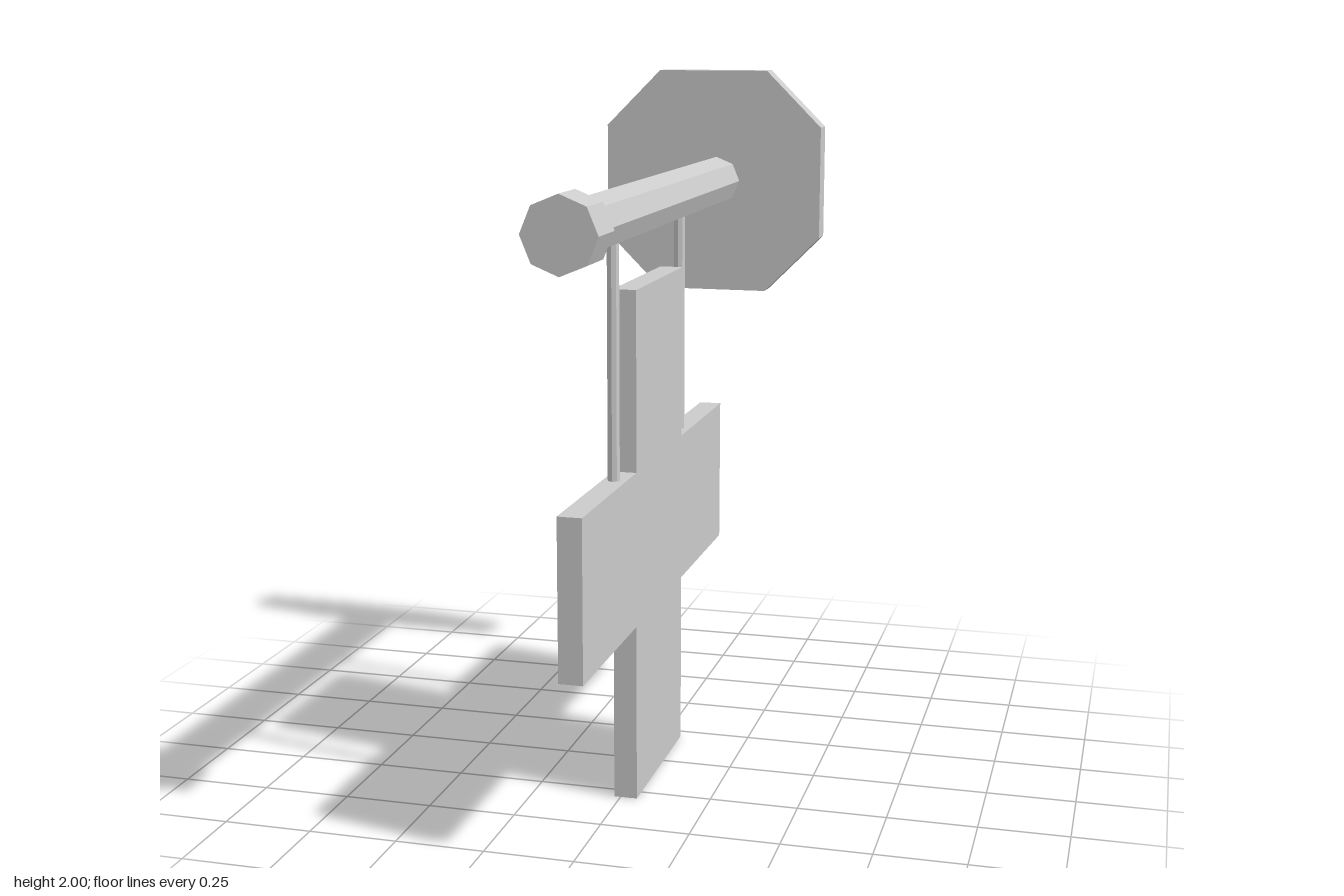
import * as THREE from 'three';

const material = new THREE.MeshStandardMaterial({ color: 0xcccccc, flatShading: true });
const AXIS_X = 0.0125, AXIS_Y = 1.655; // centre line of the bracket arm

function add(group, name, geometry) {
  const mesh = new THREE.Mesh(geometry, material);
  mesh.name = name;
  group.add(mesh);
  return mesh;
}

// Flat outline extruded to a given thickness
function slab(points, depth) {
  const shape = new THREE.Shape(points.map(([x, y]) => new THREE.Vector2(x, y)));
  return new THREE.ExtrudeGeometry(shape, { depth, bevelEnabled: false });
}

// Eight-sided bar along z, between two z positions
function armSection(group, name, radius, z0, z1) {
  const geometry = new THREE.CylinderGeometry(radius, radius, z1 - z0, 8).rotateX(Math.PI / 2);
  add(group, name, geometry).position.set(AXIS_X, AXIS_Y, (z0 + z1) / 2);
}

export function createModel() {
  const group = new THREE.Group();
  group.name = 'hangingCrossSign';

  // Wall plate: square with cut corners
  const h = 0.347, c = 0.173;
  const plate = [[h, -c], [h, c], [c, h], [-c, h], [-h, c], [-h, -c], [-c, -h], [c, -h]];
  add(group, 'wallPlate', slab(plate, 0.077)).position.set(0, AXIS_Y - 0.002, -0.867);

  // Arm with neck and end cap
  armSection(group, 'arm', 0.075, -0.867, 0.713);
  armSection(group, 'neck', 0.056, 0.70, 0.74);
  armSection(group, 'endCap', 0.1, 0.73, 0.867);

  // Hanger rods
  for (const [name, z] of [['frontHanger', 0.4], ['backHanger', -0.312]]) {
    add(group, name, new THREE.CylinderGeometry(0.017, 0.017, 0.68, 8)).position.set(AXIS_X, 1.28, z);
  }

  // Cross panel, outlined in (-z, y) and turned to face sideways
  const cross = [
    [-0.3, 0], [0.207, 0], [0.207, 0.508], [0.717, 0.508], [0.717, 0.947], [0.207, 0.947],
    [0.207, 1.45], [-0.3, 1.45], [-0.3, 0.947], [-0.81, 0.947], [-0.81, 0.508], [-0.3, 0.508],
  ];
  add(group, 'crossPanel', slab(cross, 0.066).rotateY(Math.PI / 2)).position.x = -0.018;

  return group;
}
